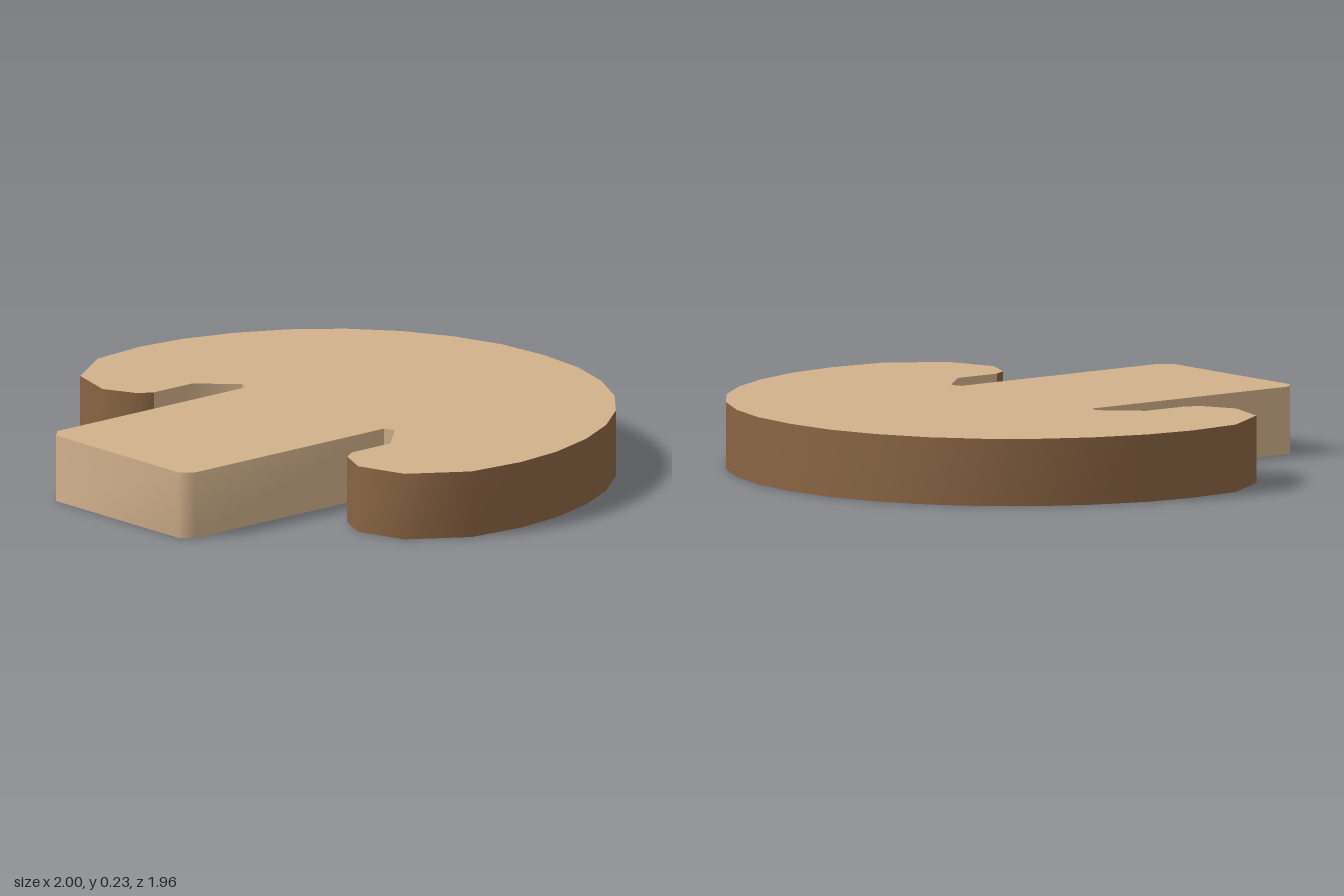
import * as THREE from 'three';
import { toCreasedNormals } from 'three/addons/utils/BufferGeometryUtils.js';

const HEIGHT = 0.235;

// Right half of the outline as [x, z], from the crown down to the stem foot
const CAP = [[0, -0.98], [0.2, -0.963], [0.385, -0.907], [0.56, -0.815], [0.71, -0.69],
  [0.83, -0.54], [0.92, -0.37], [0.98, -0.18], [1, 0], [0.98, 0.21],
  [0.85, 0.405], [0.67, 0.46], [0.55, 0.405], [0.52, 0.355]];
const STEM = [[0.52, 0.355], [0.52, 0.18], [0.4, 0.055], [0.36, 0.07], [0.36, 0.94], [0.32, 0.98]];

const mirrored = (pts) => pts.map(([x, z]) => [-x, z]).reverse();

// Upright wall along a path, facing outward
function wall(path) {
  const pos = [];
  for (let i = 0; i < path.length - 1; i++) {
    const [ax, az] = path[i], [bx, bz] = path[i + 1];
    pos.push(ax, 0, az, ax, HEIGHT, az, bx, 0, bz);
    pos.push(ax, HEIGHT, az, bx, HEIGHT, bz, bx, 0, bz);
  }
  const geo = new THREE.BufferGeometry();
  geo.setAttribute('position', new THREE.Float32BufferAttribute(pos, 3));
  return toCreasedNormals(geo, THREE.MathUtils.degToRad(50));
}

// Flat face filling the outline, facing up (dir 1) or down (dir -1)
function face(outline, dir) {
  const shape = new THREE.Shape(outline.map(([x, z]) => new THREE.Vector2(x, -dir * z)));
  return new THREE.ShapeGeometry(shape).rotateX(-dir * Math.PI / 2);
}

export function createModel() {
  const group = new THREE.Group();
  group.name = 'mushroomSlice';
  const flesh = new THREE.MeshStandardMaterial({ color: 0xd2b18c });
  const skin = new THREE.MeshStandardMaterial({ color: 0x8b6543 });

  const add = (name, geometry, material, y = 0) => {
    const mesh = new THREE.Mesh(geometry, material);
    mesh.name = name;
    mesh.position.y = y;
    group.add(mesh);
  };

  const rim = [...mirrored(CAP).slice(0, -1), ...CAP];
  const stem = [...STEM, ...mirrored(STEM)];
  const outline = [...rim, ...stem.slice(1, -1)];

  add('capRim', wall(rim), skin);
  add('stemWall', wall(stem), flesh);
  add('topFace', face(outline, 1), flesh, HEIGHT);
  add('bottomFace', face(outline, -1), flesh);
  return group;
}
